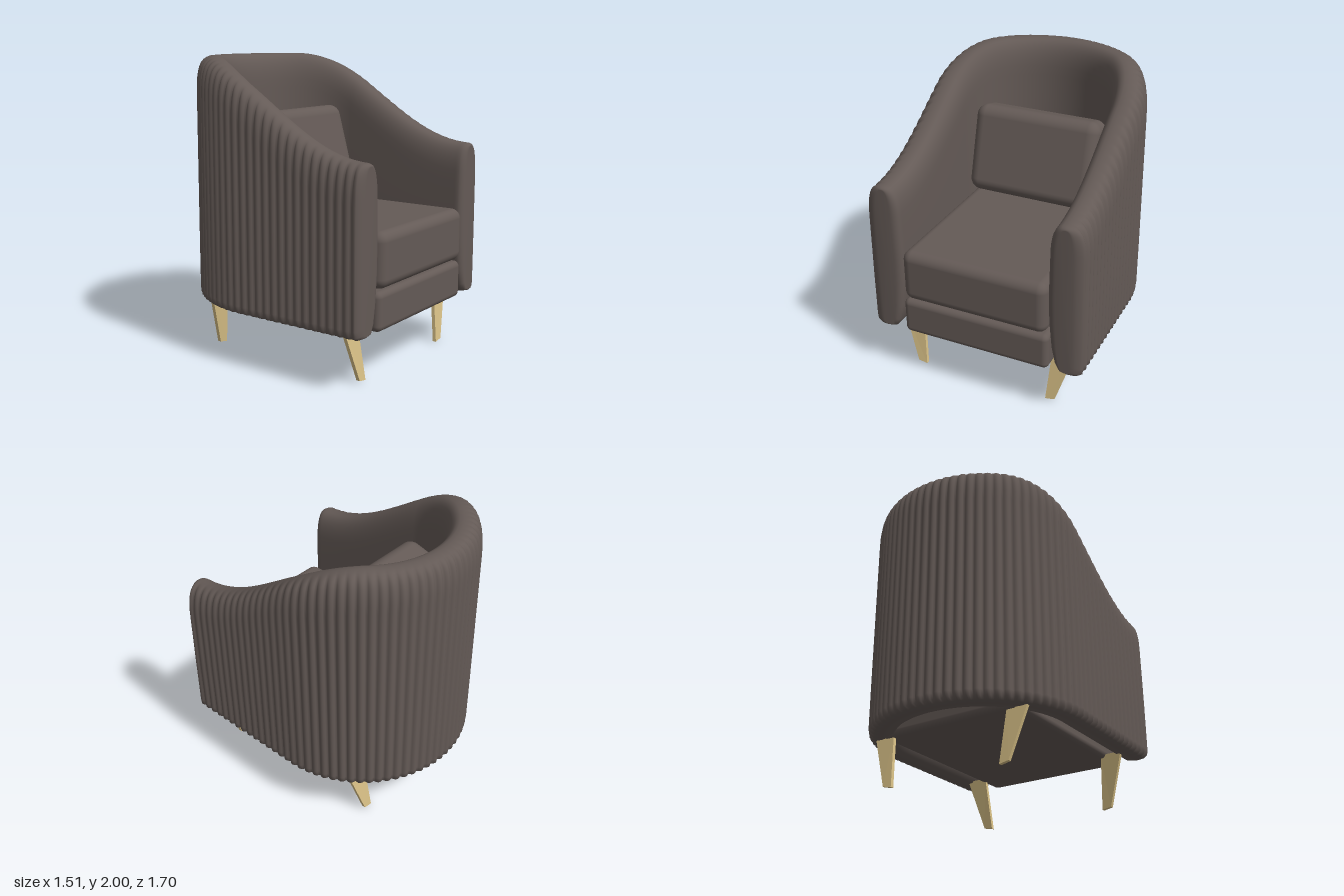
import * as THREE from 'three';
import { RoundedBoxGeometry } from 'three/addons/geometries/RoundedBoxGeometry.js';

const ARM = 0.93, RADIUS = 0.625, FRONT = 0.83, OUTER = 0.74;
const TOTAL = 2 * ARM + Math.PI * OUTER, RIBS = 68;

// U-shaped plan: straight arm, half-circle back, straight arm
function planAt(s) {
  if (s < ARM) return { x: RADIUS, z: FRONT - s, nx: 1, nz: 0 };
  if (s > TOTAL - ARM) return { x: -RADIUS, z: FRONT - (TOTAL - s), nx: -1, nz: 0 };
  const a = (s - ARM) / OUTER, nx = Math.cos(a), nz = -Math.sin(a);
  return { x: RADIUS * nx, z: FRONT - ARM + RADIUS * nz, nx, nz };
}

// Top edge sweeps from the low arm fronts up to the back
function heightAt(z) {
  const t = Math.pow(THREE.MathUtils.clamp((FRONT - z) / 1.38, 0, 1), 1.1);
  return 1.405 + 0.595 * t * t * (3 - 2 * t);
}

// Closed wall section: [outward offset, y, rib strength]
function sectionAt(h) {
  const pts = [[0.04, 0.348, 0], [0.085, 0.352, 0.6], [0.106, 0.37, 1], [0.111, 0.41, 1], [0.111, 0.75, 1]];
  const b = 0.25, n = 18, e = 2 / 2.6;
  for (let i = 0; i <= n; i++) {
    const a = Math.PI * i / n, c = Math.cos(a);
    const u = 0.108 * Math.sign(c) * Math.pow(Math.abs(c), e);
    pts.push([u, h - b + b * Math.pow(Math.max(0, Math.sin(a)), e), Math.max(0, Math.min(1, c * 1.6))]);
  }
  pts.push([-0.114, 0.9, 0], [-0.108, 0.7, 0], [-0.09, 0.52, 0], [-0.065, 0.41, 0], [-0.03, 0.358, 0]);
  return pts;
}

function shellGeometry() {
  // Stations along the plan, with rounded ends
  const r = 0.045, ends = [], stations = [];
  for (let i = 0; i < 7; i++) {
    const a = Math.PI / 2 * i / 7;
    ends.push([r * (1 - Math.cos(a)), 1 - Math.sin(a)]);
  }
  ends.forEach(([s, k]) => stations.push([s, k]));
  const steps = RIBS * 6;
  for (let i = 0; i <= steps; i++) {
    const s = TOTAL * i / steps;
    if (s > r && s < TOTAL - r) stations.push([s, 0]);
  }
  ends.reverse().forEach(([s, k]) => stations.push([TOTAL - s, k]));

  const pos = [], idx = [];
  let m = 0;
  for (const [s, k] of stations) {
    const p = planAt(s), h = heightAt(p.z), sec = sectionAt(h), mid = (h + 0.35) / 2;
    const rib = 0.018 * Math.abs(Math.sin(Math.PI * RIBS * s / TOTAL)) * (1 - k);
    m = sec.length;
    for (const [u, y, w] of sec) {
      const d = u * (1 - 0.5 * k) + rib * w;
      pos.push(p.x + p.nx * d, y + Math.sign(mid - y) * 0.02 * k, p.z + p.nz * d);
    }
  }
  const last = stations.length - 1;
  for (let i = 0; i < last; i++) {
    for (let j = 0; j < m; j++) {
      const a = i * m + j, b = i * m + (j + 1) % m;
      idx.push(a, a + m, b, b, a + m, b + m);
    }
  }
  // Front caps of the two arms
  const c0 = pos.length / 3;
  pos.push(RADIUS, 0.9, FRONT + 0.004, -RADIUS, 0.9, FRONT + 0.004);
  for (let j = 0; j < m; j++) {
    const k = (j + 1) % m;
    idx.push(c0, j, k, c0 + 1, last * m + k, last * m + j);
  }
  const g = new THREE.BufferGeometry();
  g.setAttribute('position', new THREE.Float32BufferAttribute(pos, 3));
  g.setIndex(idx);
  g.computeVertexNormals();
  return g;
}

// Flat tapered slat leaning in x and z; the bottom is at y = 0.01
function legGeometry(topIn, topOut, lowIn, lowOut, zTop, zLow) {
  const g = new THREE.BoxGeometry(1, 1, 0.025), p = g.attributes.position;
  for (let i = 0; i < p.count; i++) {
    const top = p.getY(i) > 0, out = p.getX(i) > 0;
    p.setXYZ(i, top ? (out ? topOut : topIn) : (out ? lowOut : lowIn),
      top ? 0.37 : (out ? 0.012 : 0), p.getZ(i) + (top ? zTop : zLow));
  }
  const flat = g.toNonIndexed();
  flat.computeVertexNormals();
  return flat;
}

export function createModel() {
  const model = new THREE.Group();
  model.name = 'armchair';
  const fabric = new THREE.MeshStandardMaterial({ color: 0x645a56 });
  fabric.name = 'brown fabric';
  const wood = new THREE.MeshStandardMaterial({ color: 0xd9c187 });
  wood.name = 'pale wood';

  function add(name, geometry, material, x = 0, y = 0, z = 0) {
    const mesh = new THREE.Mesh(geometry, material);
    mesh.name = name;
    mesh.position.set(x, y, z);
    model.add(mesh);
    return mesh;
  }

  add('ribbedShell', shellGeometry(), fabric);
  add('seatBase', new RoundedBoxGeometry(1.04, 0.255, 1.365, 5, 0.04), fabric, 0, 0.4725, 0.1475);
  add('seatCushion', new RoundedBoxGeometry(1.02, 0.36, 1.375, 6, 0.065), fabric, 0, 0.79, 0.1575);
  const pillow = add('backCushion', new RoundedBoxGeometry(0.91, 0.605, 0.25, 8, 0.08), fabric, 0, 1.327, -0.175);
  pillow.rotation.x = -0.27;

  // Legs, mirrored in pairs; the rear pair stands a little closer together
  const specs = [['front', 0, 0.633, 0.677], ['rear', -0.045, -0.485, -0.527]];
  for (const [name, dx, zTop, zLow] of specs) {
    const g = legGeometry(0.48 + dx, 0.63 + dx, 0.45 + dx, 0.515 + dx, zTop, zLow);
    add(name + 'LegLeft', g, wood);
    // Mirrored copy with the corner order reversed
    const mirror = g.clone().scale(-1, 1, 1), p = mirror.attributes.position;
    for (let i = 0; i < p.count; i += 3) {
      const a = [p.getX(i), p.getY(i), p.getZ(i)];
      p.setXYZ(i, p.getX(i + 1), p.getY(i + 1), p.getZ(i + 1));
      p.setXYZ(i + 1, ...a);
    }
    mirror.computeVertexNormals();
    add(name + 'LegRight', mirror, wood);
  }
  return model;
}
